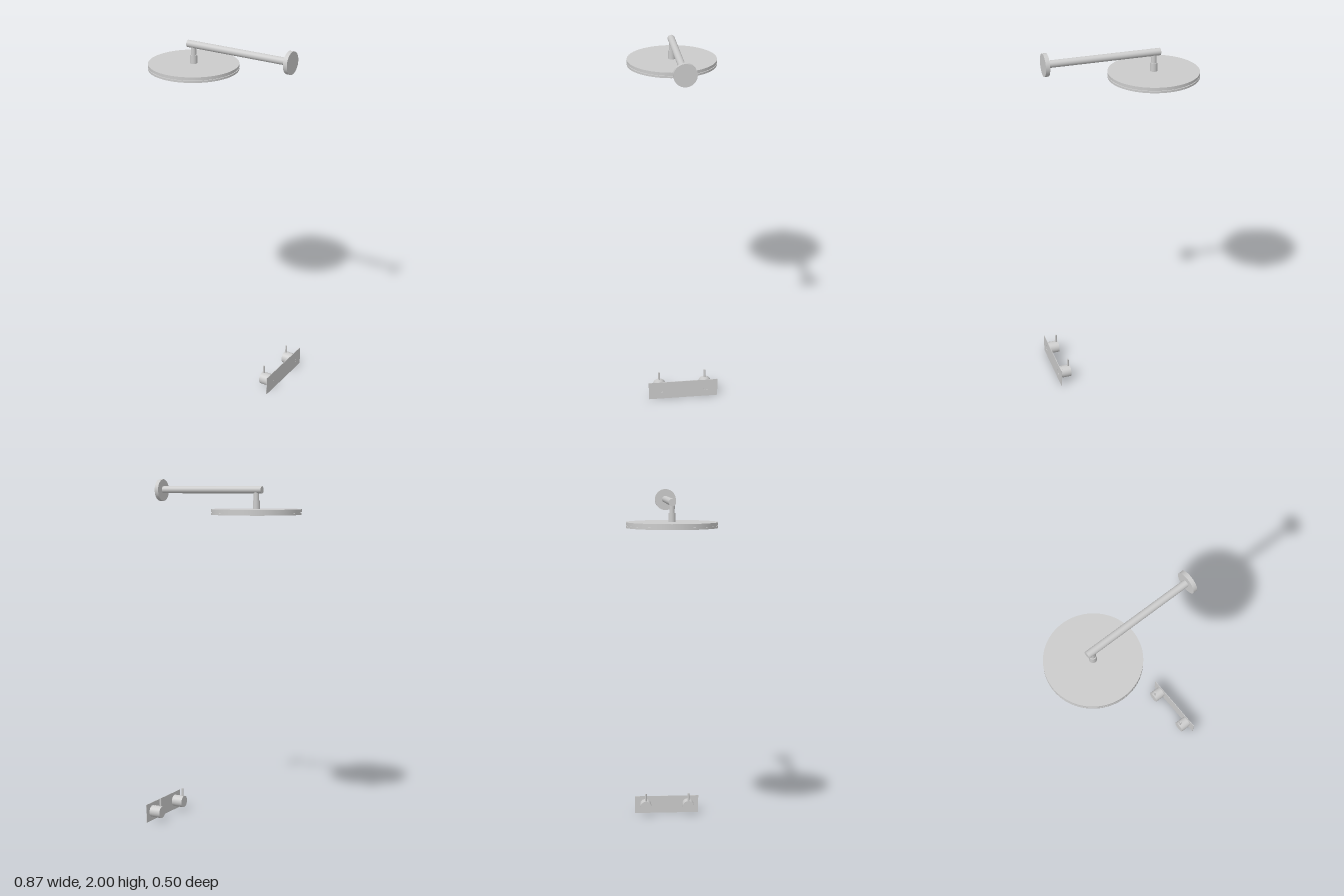
import * as THREE from 'three';

const material = new THREE.MeshStandardMaterial({ color: 0xcccccc });

function add(parent, name, geometry, x = 0, y = 0, z = 0) {
  const mesh = new THREE.Mesh(geometry, material);
  mesh.name = name;
  mesh.position.set(x, y, z);
  parent.add(mesh);
  return mesh;
}

// Cylinder lying along x between x0 and x1
function rodX(parent, name, radius, x0, x1, y, z) {
  const geometry = new THREE.CylinderGeometry(radius, radius, x1 - x0, 48).rotateZ(-Math.PI / 2);
  return add(parent, name, geometry, (x0 + x1) / 2, y, z);
}

// Stacked upright cylinders with crisp edges: [radius, bottom, top]
function stackY(parent, name, sections, x, z, sides) {
  const group = new THREE.Group();
  group.name = name;
  for (const [r, y0, y1] of sections) {
    add(group, name + 'Section', new THREE.CylinderGeometry(r, r, y1 - y0, sides), x, (y0 + y1) / 2, z);
  }
  parent.add(group);
}

export function createModel() {
  const model = new THREE.Group();
  model.name = 'wallShower';
  const headX = -0.185;

  // Rain head: two thin discs with a narrow groove between them
  stackY(model, 'showerHead', [
    [0.252, 1.803, 1.814],
    [0.246, 1.814, 1.818],
    [0.252, 1.818, 1.834],
  ], headX, 0, 96);
  add(model, 'centreScrew', new THREE.CylinderGeometry(0.012, 0.012, 0.004, 24), headX, 1.802, 0);

  // Stepped joint between the head and the arm
  stackY(model, 'neck', [[0.02, 1.834, 1.882], [0.015, 1.882, 1.93]], headX, 0, 32);

  // Arm and round wall flange
  rodX(model, 'arm', 0.02, -0.22, 0.415, 1.94, 0);
  rodX(model, 'wallFlange', 0.062, 0.411, 0.434, 1.938, 0);

  // Control plate with a round hole behind each knob
  const plateZ = 0.0075, plateY = 0.054, spacing = 0.132;
  const shape = new THREE.Shape();
  shape.moveTo(-0.198, -0.054);
  shape.lineTo(0.198, -0.054);
  shape.lineTo(0.198, 0.054);
  shape.lineTo(-0.198, 0.054);
  shape.closePath();
  for (const side of [-1, 1]) {
    shape.holes.push(new THREE.Path().absarc(side * spacing, 0.002, 0.018, 0, Math.PI * 2, true));
  }
  const plate = new THREE.ExtrudeGeometry(shape, { depth: 0.003, bevelEnabled: false, curveSegments: 24 });
  plate.rotateY(Math.PI / 2);
  add(model, 'controlPlate', plate, 0.431, plateY, plateZ);

  // Two knobs, each with a base ring, spindle and upright lever pin
  for (const side of [-1, 1]) {
    const knob = new THREE.Group();
    knob.name = side > 0 ? 'frontKnob' : 'backKnob';
    const y = 0.056, z = plateZ + side * spacing;
    rodX(knob, 'handle', 0.035, 0.364, 0.416, y, z);
    rodX(knob, 'baseRing', 0.034, 0.416, 0.431, y, z);
    rodX(knob, 'spindle', 0.018, 0.42, 0.433, y, z);
    add(knob, 'leverPin', new THREE.CylinderGeometry(0.0055, 0.0055, 0.062, 16), 0.375, 0.107, z);
    model.add(knob);
  }
  return model;
}
